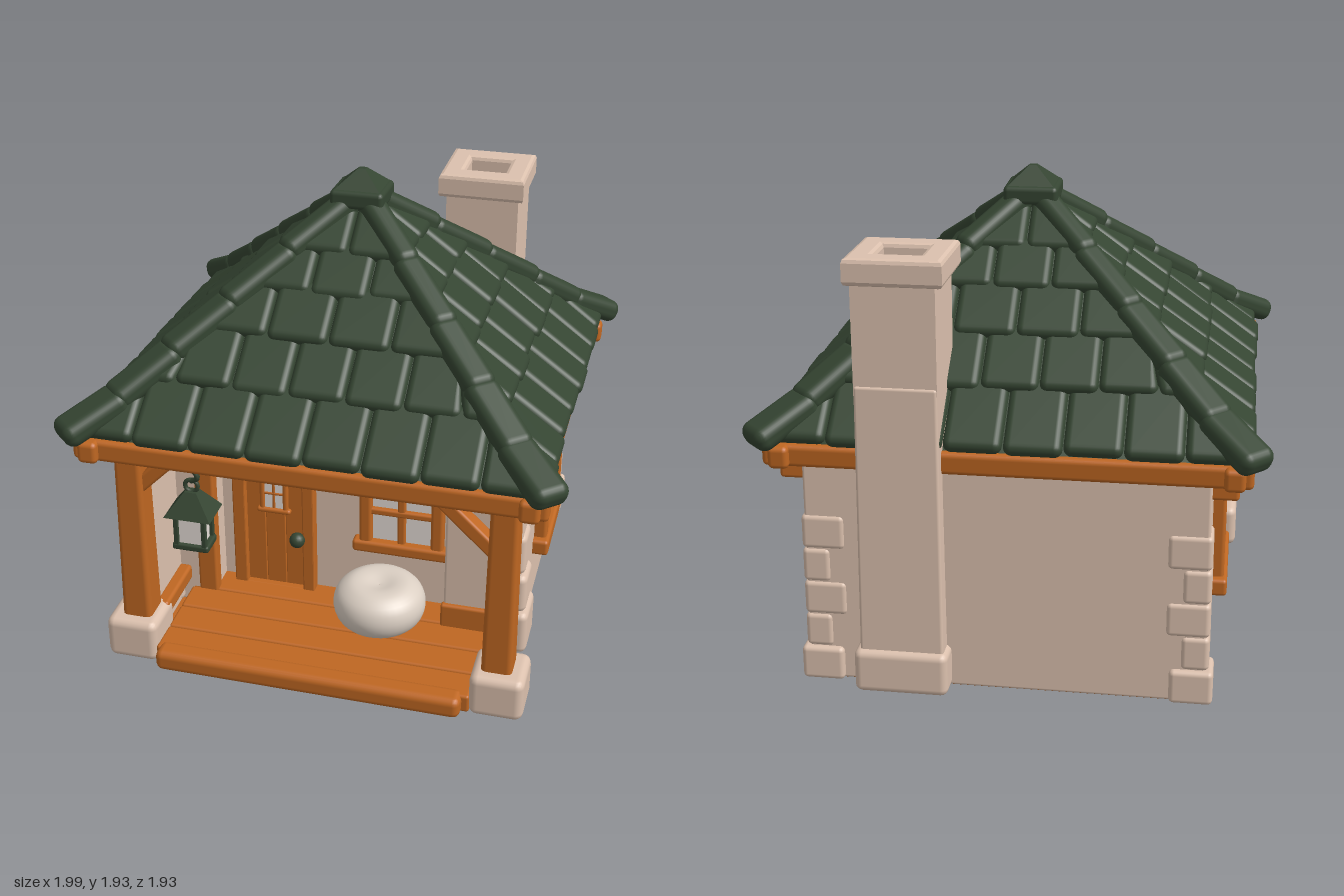
import * as THREE from 'three';
import { RoundedBoxGeometry } from 'three/addons/geometries/RoundedBoxGeometry.js';

const make = (name, color) => {
  const m = new THREE.MeshStandardMaterial({ color });
  m.name = name;
  return m;
};

export function createModel() {
  const model = new THREE.Group();
  model.name = 'cottage';
  const plaster = make('plaster', 0xdcc1ae);
  const wood = make('wood', 0xbf6722);
  const green = make('green', 0x354532);
  const glass = make('glass', 0xfaf1ea);
  const cloth = make('cloth', 0xdbcfc3);

  let seed = 7;
  const rand = () => ((seed = (seed * 16807) % 2147483647) / 2147483647) - 0.5;

  const add = (parent, name, geometry, material, x = 0, y = 0, z = 0) => {
    const mesh = new THREE.Mesh(geometry, material);
    mesh.name = name;
    mesh.position.set(x, y, z);
    parent.add(mesh);
    return mesh;
  };
  const group = (parent, name) => {
    const g = new THREE.Group();
    g.name = name;
    parent.add(g);
    return g;
  };
  // Soft-edged block given by its bounds
  const block = (parent, name, mat, x0, x1, y0, y1, z0, z1, r = 0.015) => {
    const w = x1 - x0, h = y1 - y0, d = z1 - z0;
    const geo = new RoundedBoxGeometry(w, h, d, 2, Math.min(r, w / 2.1, h / 2.1, d / 2.1));
    return add(parent, name, geo, mat, (x0 + x1) / 2, (y0 + y1) / 2, (z0 + z1) / 2);
  };
  // Widen (or narrow) the lower half of a block and shift it in z
  const flare = (mesh, k, shift) => {
    const p = mesh.geometry.attributes.position;
    for (let i = 0; i < p.count; i++) {
      if (p.getY(i) > 0) continue;
      p.setX(i, p.getX(i) * k);
      p.setZ(i, p.getZ(i) * k + shift);
    }
  };

  // Walls: recessed front between two corner piers
  const walls = group(model, 'walls');
  block(walls, 'mainWalls', plaster, -0.78, 0.78, 0.002, 0.97, -0.85, 0.25, 0.012);
  block(walls, 'rightPier', plaster, 0.46, 0.78, 0.002, 0.97, 0.1, 0.385, 0.012);
  block(walls, 'leftPier', plaster, -0.78, -0.55, 0.002, 0.97, 0.1, 0.385, 0.012);
  block(walls, 'porchSideWall', plaster, -0.78, -0.71, 0.002, 0.93, 0.3, 0.64, 0.012);

  // Corner stones
  const stones = group(model, 'cornerStones');
  [[0, 0.2, 0.2, 0.41], [0.2, 0.38, 0.235, 0.4], [0.38, 0.57, 0.25, 0.39]].forEach(([y0, y1, z0, z1], i) =>
    block(stones, 'frontStone', plaster, 0.7, 0.82 - i * 0.012, y0, y1, z0, z1, 0.03));
  for (const s of [-1, 1]) {
    for (let i = 0; i < 5; i++) {
      const wide = i % 2 ? 0.11 : 0.17, out = i ? 0.792 : 0.81;
      const xa = s * out, xb = s * (out - wide);
      block(stones, 'backStone', plaster, Math.min(xa, xb), Math.max(xa, xb), i * 0.14, i * 0.14 + 0.14,
        i ? -0.86 : -0.875, -0.85 + (i % 2 ? 0.17 : 0.13), 0.02);
    }
  }
  block(stones, 'sideFooting', plaster, 0.7, 0.795, 0, 0.13, -0.72, -0.6, 0.025);
  block(stones, 'leftFooting', plaster, -0.8, -0.7, 0, 0.18, 0.2, 0.42, 0.03);

  // Floor and porch deck
  const deck = group(model, 'porch');
  block(deck, 'floor', wood, -0.77, 0.77, 0, 0.008, -0.84, 0.62, 0.002);
  for (let i = 0; i < 4; i++) {
    const z = 0.24 + i * 0.15;
    block(deck, 'plank', wood, -0.66, 0.66, 0.006, 0.085, z, z + 0.147, 0.012);
  }
  block(deck, 'frontStep', wood, -0.65, 0.63, 0, 0.092, 0.79, 0.89, 0.03);
  block(deck, 'pierPlinth', wood, 0.45, 0.68, 0.07, 0.19, 0.37, 0.405, 0.012);
  block(deck, 'sideRail', wood, -0.72, -0.66, 0.12, 0.19, 0.38, 0.68, 0.015);
  block(deck, 'innerPost', wood, -0.625, -0.54, 0.07, 0.96, 0.34, 0.4, 0.012);

  // Front posts on stone bases
  for (const s of [-1, 1]) {
    flare(block(deck, 'frontPost', wood, s * 0.755 - 0.055, s * 0.755 + 0.055, 0.16, 0.99, 0.655, 0.775, 0.02), 1.14, 0.01);
    block(deck, 'postBase', plaster, s * 0.765 - 0.11, s * 0.765 + 0.11, 0, 0.19, 0.62, 0.845, 0.035);
  }

  // Diagonal braces
  const brace = (x0, y0, x1, y1, z) => {
    const dx = x1 - x0, dy = y1 - y0;
    const geo = new RoundedBoxGeometry(Math.hypot(dx, dy) + 0.05, 0.06, 0.07, 2, 0.012);
    add(deck, 'brace', geo, wood, (x0 + x1) / 2, (y0 + y1) / 2, z).rotation.z = Math.atan2(dy, dx);
  };
  brace(0.48, 0.95, 0.71, 0.73, 0.72);
  brace(-0.71, 0.81, -0.57, 0.95, 0.72);
  brace(-0.54, 0.72, -0.27, 0.95, 0.36);

  // Windows: lintel, sill, uprights, cross bars and pane
  const windowAt = (name, w, h, t, x, y, z, turn) => {
    const g = group(model, name);
    g.position.set(x, y, z);
    g.rotation.y = turn;
    const W = w / 2, H = h / 2, in0 = W - t * 0.5;
    block(g, 'pane', glass, -in0 + 0.01, in0 - 0.01, -H + 0.01, H - 0.01, 0, 0.009, 0.002);
    for (const s of [-1, 1]) {
      block(g, s > 0 ? 'lintel' : 'sill', wood, -W, W, s * (H - t / 2) - t / 2, s * (H - t / 2) + t / 2, -0.02, t * 0.9);
      block(g, 'upright', wood, s * (in0 - t / 2) - t / 2, s * (in0 - t / 2) + t / 2, -H + t / 2, H - t / 2, -0.02, t * 0.7);
    }
    block(g, 'verticalBar', wood, -t * 0.32, t * 0.32, -H + t / 2, H - t / 2, -0.01, t * 0.5, 0.01);
    block(g, 'crossBar', wood, -in0 + 0.01, in0 - 0.01, -t * 0.28, t * 0.28, -0.01, t * 0.55, 0.01);
  };
  windowAt('frontWindow', 0.42, 0.4, 0.055, 0.25, 0.525, 0.252, 0);
  windowAt('leftWindow', 0.51, 0.51, 0.072, 0.782, 0.52, -0.205, Math.PI / 2);
  windowAt('rightWindow', 0.51, 0.51, 0.072, -0.782, 0.52, -0.205, -Math.PI / 2);

  // Round-topped door
  const arch = (Type, x0, x1, y0, y1, r) => {
    const s = new Type();
    s.moveTo(x0, y0);
    s.lineTo(x1, y0);
    s.lineTo(x1, y1 - r);
    s.quadraticCurveTo(x1, y1, x1 - r, y1);
    s.lineTo(x0 + r, y1);
    s.quadraticCurveTo(x0, y1, x0, y1 - r);
    s.lineTo(x0, y0);
    return s;
  };
  const extrude = (shape, depth, bevel) => new THREE.ExtrudeGeometry(shape, {
    depth, bevelSize: bevel, bevelThickness: bevel, bevelSegments: 2, curveSegments: 8 });
  const door = group(model, 'door');
  const frame = arch(THREE.Shape, -0.485, -0.135, 0.075, 0.725, 0.13);
  frame.holes.push(arch(THREE.Path, -0.44, -0.175, 0.08, 0.68, 0.1));
  add(door, 'doorFrame', extrude(frame, 0.05, 0.006), wood, 0, 0, 0.245);
  for (let i = 0; i < 3; i++) {
    const x = -0.44 + i * 0.0885;
    block(door, 'doorBoard', wood, x, x + 0.088, 0.08, i === 1 ? 0.69 : 0.675, 0.24, 0.27, 0.005);
  }
  windowAt('doorWindow', 0.15, 0.19, 0.024, -0.31, 0.545, 0.271, 0);
  add(door, 'doorKnob', new THREE.SphereGeometry(0.034, 16, 12), green, -0.2, 0.345, 0.31);

  // Round cushion with a dimpled top
  const profile = new THREE.SplineCurve([[0.001, 0], [0.12, 0.003], [0.175, 0.035], [0.195, 0.095], [0.178, 0.155], [0.13, 0.192], [0.08, 0.197], [0.03, 0.185], [0.001, 0.18]]
    .map(([x, y]) => new THREE.Vector2(x, y)));
  add(model, 'cushion', new THREE.LatheGeometry(profile.getPoints(28), 40), cloth, 0.195, 0.088, 0.43);

  // Chimney with a hollow, lined top
  const chimney = group(model, 'chimney');
  const ring = (name, x0, x1, z0, z1, y, height, bevel) => {
    const rect = (T, a, b, c, d) => new T([[a, c], [b, c], [b, d], [a, d]].map(([u, v]) => new THREE.Vector2(u, v)));
    const s = rect(THREE.Shape, x0 + bevel, x1 - bevel, -z1 + bevel, -z0 - bevel);
    s.holes.push(rect(THREE.Path, 0.285, 0.495, 0.64, 0.835));
    add(chimney, name, extrude(s, height - 2 * bevel, bevel), plaster, 0, y + bevel, 0).rotation.x = -Math.PI / 2;
  };
  ring('chimneyShaft', 0.235, 0.55, -0.905, -0.59, 1.2, 0.45, 0.01);
  ring('chimneyCap', 0.205, 0.575, -0.92, -0.555, 1.63, 0.105, 0.018);
  flare(block(chimney, 'chimneyStack', plaster, 0.235, 0.55, 0.02, 1.25, -0.912, -0.59, 0.012), 1.05, -0.012);
  block(chimney, 'chimneyBase', plaster, 0.21, 0.58, 0, 0.18, -0.955, -0.7, 0.03);
  block(chimney, 'flueFloor', wood, 0.28, 0.5, 1.3, 1.309, -0.84, -0.635, 0.003);
  for (const x of [0.291, 0.481]) block(chimney, 'flueLining', wood, x, x + 0.008, 1.3, 1.715, -0.84, -0.635, 0.002);
  for (const z of [-0.83, -0.654]) block(chimney, 'flueLining', wood, 0.285, 0.495, 1.3, 1.715, z, z + 0.008, 0.002);

  // Rafter ends under the eaves
  for (const s of [-1, 1]) {
    block(model, 'rafterEnd', wood, s * 0.8 - 0.08, s * 0.8 + 0.08, 0.865, 0.97, 0.335, 0.425);
    block(model, 'rafterEnd', wood, s * 0.8 - 0.08, s * 0.8 + 0.08, 0.83, 0.93, -0.81, -0.71);
  }

  // Roof, leaning slightly backwards
  const roof = group(model, 'roof');
  roof.rotation.x = -0.042;
  roof.position.z = 0.045;
  roof.scale.z = 0.97;
  const eave = 1.03, rise = 0.87, pitch = Math.atan(rise);
  const slopeY = d => eave + (0.9 - d) * rise;
  block(roof, 'soffit', wood, -0.86, 0.86, 0.985, 1.02, -0.86, 0.86);
  const core = new THREE.ConeGeometry(0.88 * Math.SQRT2, 0.78, 4);
  core.rotateY(Math.PI / 4);
  add(roof, 'roofCore', core, green, 0, 1.405, 0);

  const rows = [[0.9, 0.68, 8, 0.225], [0.7, 0.5, 7, 0.225], [0.52, 0.34, 4, 0.245], [0.36, 0.2, 3, 0.23], [0.22, 0.06, 2, 0.21]];
  for (let k = 0; k < 4; k++) {
    const side = group(roof, 'roofSide');
    side.rotation.y = k * Math.PI / 2;
    block(side, 'eaveBeam', wood, -0.93, 0.93, 0.935, 1.025, 0.82, 0.9, 0.02);
    // Overlapping tiles, trimmed along the hips
    for (const [d0, d1, n, w] of rows) {
      const length = (d0 - d1) / Math.cos(pitch) + 0.03, mid = (d0 + d1) / 2;
      for (let i = 0; i < n; i++) {
        const geo = new RoundedBoxGeometry(w - 0.003, 0.064, length + rand() * 0.02, 3, 0.031);
        geo.rotateX(pitch - 0.09 + rand() * 0.03);
        geo.translate((i - (n - 1) / 2) * w, slopeY(mid) + 0.018 + rand() * 0.008, mid + rand() * 0.012);
        const p = geo.attributes.position;
        for (let j = 0; j < p.count; j++) {
          const limit = Math.max(p.getZ(j), 0);
          p.setX(j, THREE.MathUtils.clamp(p.getX(j), -limit, limit));
        }
        add(side, 'roofTile', geo, green);
      }
    }
    // Hip caps widening towards the corner
    const stops = [0.04, 0.24, 0.43, 0.61, 0.78, 0.932];
    for (let i = 0; i < 5; i++) {
      const a = stops[i], b = stops[i + 1], m = (a + b) / 2, last = i === 4;
      const run = (b - a) * Math.SQRT2, tilt = Math.atan(rise / Math.SQRT2);
      const geo = new RoundedBoxGeometry(0.11 + i * 0.012, 0.1, run / Math.cos(tilt) + 0.04, 3, 0.042);
      const hip = add(side, 'hipCap', geo, green, m, slopeY(m) + (last ? 0.045 : 0.03), m);
      hip.rotation.set(tilt - (last ? 0.14 : 0.04), Math.PI / 4, 0, 'YXZ');
    }
  }

  // Peak cap
  block(roof, 'peakBlock', green, -0.11, 0.11, 1.785, 1.86, -0.11, 0.11, 0.02);
  const peak = new THREE.CylinderGeometry(0.02, 0.145, 0.08, 4).toNonIndexed();
  peak.rotateY(Math.PI / 4);
  peak.computeVertexNormals();
  add(roof, 'peakTop', peak, green, 0, 1.89, 0);

  // Hanging lantern
  const lantern = group(model, 'lantern');
  lantern.position.set(-0.47, 0, 0.81);
  block(lantern, 'lanternBase', green, -0.075, 0.075, 0.605, 0.635, -0.055, 0.055, 0.01);
  block(lantern, 'lanternGlass', glass, -0.052, 0.052, 0.63, 0.77, -0.042, 0.042, 0.004);
  for (const sx of [-1, 1]) for (const sz of [-1, 1])
    block(lantern, 'lanternBar', green, sx * 0.057 - 0.01, sx * 0.057 + 0.01, 0.62, 0.78, sz * 0.043 - 0.01, sz * 0.043 + 0.01, 0.004);
  const hood = new THREE.CylinderGeometry(0.035, 0.135, 0.095, 4).toNonIndexed();
  hood.rotateY(Math.PI / 4);
  hood.computeVertexNormals();
  add(lantern, 'lanternHood', hood, green, 0, 0.81, 0).scale.z = 0.8;
  add(lantern, 'lanternRing', new THREE.TorusGeometry(0.026, 0.009, 8, 18), green, 0, 0.88, 0);
  const hook = new THREE.CatmullRomCurve3([[0.0, 0.9, 0], [0.03, 0.925, 0.01], [0.015, 0.955, 0.01], [-0.02, 0.965, 0.02], [-0.02, 1.0, 0.02]]
    .map(v => new THREE.Vector3(...v)));
  add(lantern, 'lanternHook', new THREE.TubeGeometry(hook, 20, 0.011, 8), green);

  return model;
}
